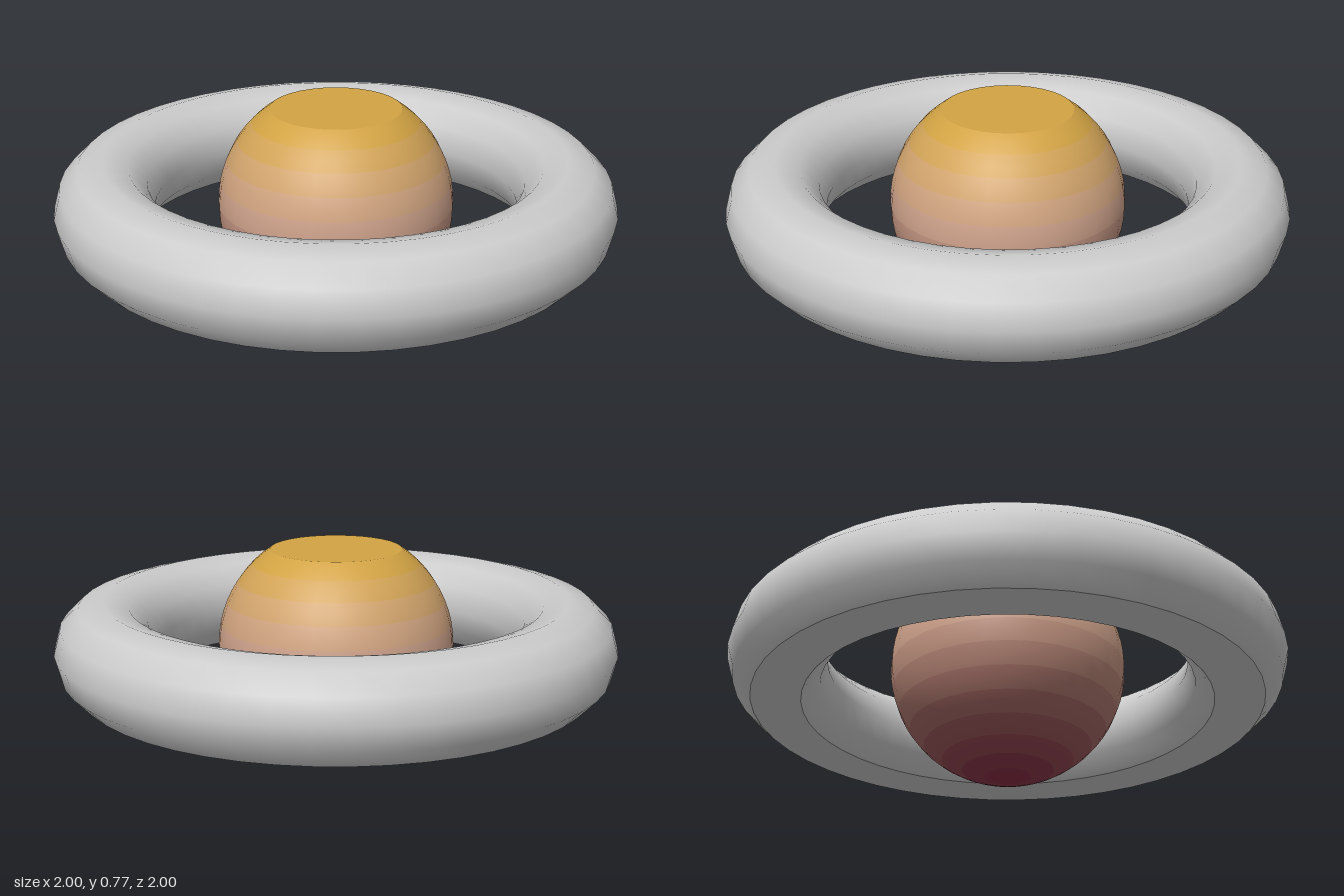
import * as THREE from 'three';

const CENTER_Y = 0.42;
const BALL_R = 0.42;
const STEP = Math.PI / 16;
const CUT = 3; // latitude step where the ball is cut flat

const GOLD = new THREE.Color(0xd2a344);
const BLUSH = new THREE.Color(0xd2a68e);
const CRIMSON = new THREE.Color(0x8a2c46);

// Ball colour by height: gold top, blush middle, crimson bottom
function ballColor(y) {
  return y > 0.48
    ? BLUSH.clone().lerp(GOLD, Math.min(1, (y - 0.48) / 0.25))
    : CRIMSON.clone().lerp(BLUSH, y / 0.48);
}

function addMesh(parent, name, geometry, color) {
  const mesh = new THREE.Mesh(geometry, new THREE.MeshStandardMaterial({ color }));
  mesh.name = name;
  parent.add(mesh);
  return mesh;
}

// Ball made of latitude bands, with a flat top
function createBall() {
  const ball = new THREE.Group();
  ball.name = 'ball';
  ball.position.y = CENTER_Y;
  for (let i = CUT; i < 16; i++) {
    const y = CENTER_Y + BALL_R * Math.cos((i + 0.5) * STEP);
    const band = new THREE.SphereGeometry(BALL_R, 32, 1, 0, Math.PI * 2, i * STEP, STEP);
    addMesh(ball, 'ballBand', band, ballColor(y));
  }
  const cap = new THREE.CircleGeometry(BALL_R * Math.sin(CUT * STEP), 32).rotateX(-Math.PI / 2);
  addMesh(ball, 'ballFlatTop', cap, GOLD).position.y = BALL_R * Math.cos(CUT * STEP);
  return ball;
}

// Twelve-sided tube ring with its lowest edge cut flat
function createRing() {
  const ring = new THREE.Group();
  ring.name = 'ring';
  ring.position.y = CENTER_Y + 0.003;
  const R = 0.8225, r = 0.1775;
  const profile = [];
  for (let i = -2; i <= 8; i++) {
    const a = (i * Math.PI) / 6;
    profile.push(new THREE.Vector2(R + r * Math.cos(a), r * Math.sin(a)));
  }
  addMesh(ring, 'ringTube', new THREE.LatheGeometry(profile, 48), 0xcccccc);
  const base = new THREE.RingGeometry(R - r / 2, R + r / 2, 48).rotateX(Math.PI / 2);
  addMesh(ring, 'ringFlatBase', base, 0xcccccc).position.y = profile[0].y;
  return ring;
}

export function createModel() {
  const model = new THREE.Group();
  model.name = 'ringedBall';
  model.add(createBall(), createRing());
  return model;
}
